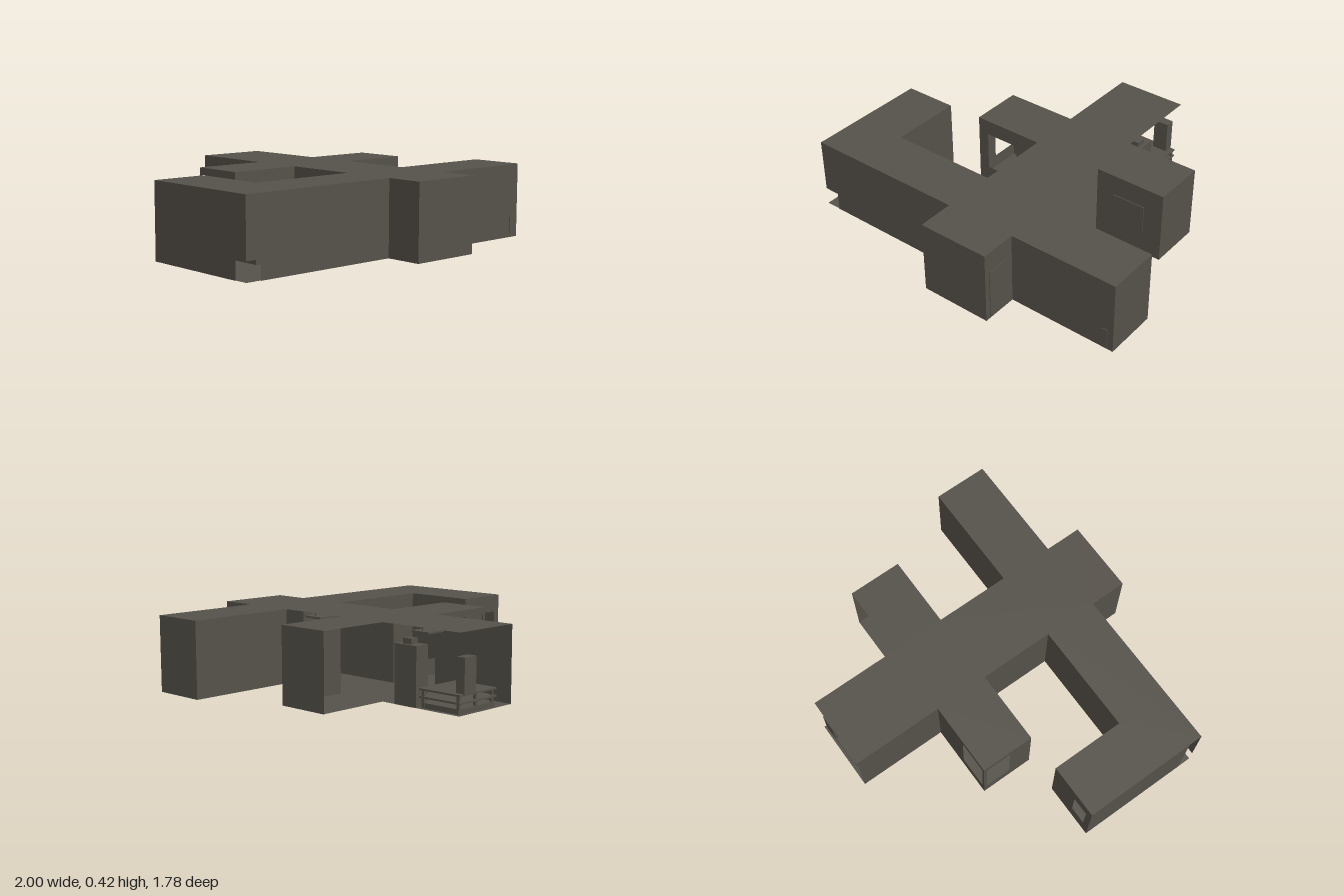
import * as THREE from 'three';

export function createModel() {
  const group = new THREE.Group();
  const plaster = new THREE.MeshStandardMaterial({ color: 0x55514a, side: THREE.DoubleSide });
  plaster.name = 'dark plaster';
  const H = 0.42;

  function add(name, geometry) {
    const mesh = new THREE.Mesh(geometry, plaster);
    mesh.name = name;
    group.add(mesh);
    return mesh;
  }
  function box(name, x0, x1, y0, y1, z0, z1) {
    add(name, new THREE.BoxGeometry(x1 - x0, y1 - y0, z1 - z0))
      .position.set((x0 + x1) / 2, (y0 + y1) / 2, (z0 + z1) / 2);
  }
  // Rectangle from a to b and y0 to y1, with rectangular holes [a, b, y0, y1]
  function panel(a, b, y0, y1, holes) {
    const rect = (T, p, q, r, s) => new T([
      new THREE.Vector2(p, r), new THREE.Vector2(q, r),
      new THREE.Vector2(q, s), new THREE.Vector2(p, s)]);
    const shape = rect(THREE.Shape, a, b, y0, y1);
    holes.forEach(h => shape.holes.push(rect(THREE.Path, ...h)));
    return new THREE.ShapeGeometry(shape);
  }
  // Wall running along x, at a fixed z
  const wallX = (name, z, a, b, holes = [], y0 = 0) =>
    add(name, panel(a, b, y0, H, holes).translate(0, 0, z));
  // Wall running along z, at a fixed x
  const wallZ = (name, x, a, b, holes = [], y0 = 0) =>
    add(name, panel(-b, -a, y0, H, holes.map(h => [-h[1], -h[0], h[2], h[3]]))
      .rotateY(Math.PI / 2).translate(x, 0, 0));

  // Floor and roof share the same cross-shaped plan
  const plan = new THREE.Shape([
    [-0.05, -0.89], [0.365, -0.89], [0.365, -0.37], [0.785, -0.37], [0.785, -0.06],
    [0.365, -0.06], [0.365, 0.37], [1, 0.37], [1, 0.68], [0.365, 0.68], [0.365, 0.89],
    [-0.05, 0.89], [-0.05, 0.68], [-1, 0.68], [-1, -0.055], [-0.685, -0.055],
    [-0.685, 0.37], [-0.05, 0.37], [-0.05, -0.06], [-0.475, -0.06], [-0.475, -0.37],
    [-0.05, -0.37]].map(([x, z]) => new THREE.Vector2(x, -z)));
  for (const [name, y] of [['floor', 0.002], ['roof', H]]) {
    add(name, new THREE.ShapeGeometry(plan).rotateX(-Math.PI / 2).translate(0, y, 0));
  }

  // Front rooms
  wallX('frontEndWall', 0.89, -0.05, 0.365);
  wallZ('frontEndRightWall', -0.05, 0.68, 0.89);
  wallZ('frontEndLeftWall', 0.365, 0.68, 0.89);
  wallX('frontLeftWall', 0.68, 0.365, 1);
  wallX('frontRightWall', 0.68, -0.91, -0.05);
  wallX('cornerLintel', 0.68, -1, -0.91, [], 0.105);
  wallZ('leftEndWall', 1, 0.37, 0.68);
  wallX('leftBackWall', 0.37, 0.365, 1);
  wallX('rightBackWall', 0.37, -0.685, -0.05);

  // Right return wing
  wallZ('wingOuterWall', -1, -0.055, 0.6);
  wallZ('wingInnerWall', -0.685, -0.055, 0.37);
  wallX('wingBackWall', -0.055, -1, -0.685, [[-0.96, -0.86, 0.12, 0.32]]);

  // Middle cross arms
  wallZ('middleRightWall', -0.05, -0.06, 0.37);
  wallZ('middleLeftArmEnd', 0.785, -0.37, -0.06);
  wallX('middleLeftArmFront', -0.06, 0.365, 0.785);
  wallX('middleRightArmFront', -0.06, -0.475, -0.05, [[-0.41, -0.2, 0.1, 0.33]]);
  wallX('middleRightArmBack', -0.37, -0.475, -0.05, [[-0.46, -0.28, 0.08, 0.38]]);
  wallZ('middleRightArmEnd', -0.475, -0.37, -0.06, [[-0.35, -0.2, 0.08, 0.38]]);

  // Back hall: one solid side, two open ones
  wallZ('backHallWall', -0.05, -0.89, -0.37);

  // Doors and panels as thin plates
  box('entranceDoor', 0.362, 0.369, 0.01, 0.3, 0.72, 0.86);
  box('leftEndDoor', 0.998, 1, 0.01, 0.28, 0.45, 0.54);
  box('wallHatch', 0.935, 0.965, 0.02, 0.125, 0.678, 0.684);
  box('armWindow', 0.47, 0.67, 0.14, 0.3, -0.061, -0.055);
  for (const z of [0.05, 0.4]) box('wingDoor', -1, -0.997, 0.02, 0.3, z - 0.07, z + 0.07);

  // Back hall furniture
  box('cabinet', 0.27, 0.36, 0, 0.32, -0.6, -0.45);
  box('cabinetNeck', 0.29, 0.34, 0.32, 0.35, -0.55, -0.49);
  box('counterBase', 0.06, 0.34, 0, 0.03, -0.87, -0.62);
  for (const y of [0.055, 0.095]) box('counterShelf', 0.06, 0.35, y, y + 0.01, -0.88, -0.61);
  for (const x of [0.07, 0.2, 0.33]) {
    for (const z of [-0.87, -0.64]) box('counterPost', x, x + 0.015, 0, 0.1, z, z + 0.015);
  }
  box('tallLocker', 0.23, 0.32, 0.1, 0.29, -0.885, -0.83);

  // Hanging lamps
  const lamps = [[0.62, 0.52], [0.88, 0.52], [0.35, 0.52], [-0.4, 0.52],
    [0.16, 0.07], [0.16, 0.31], [0.16, -0.5], [0.16, 0.72]];
  for (const [x, z] of lamps) {
    box('lamp', x - 0.06, x + 0.06, 0.36, 0.37, z - 0.06, z + 0.06);
    for (const s of [-0.04, 0.04]) box('lampRod', x + s - 0.002, x + s + 0.002, 0.37, H, z - 0.002, z + 0.002);
  }
  return group;
}
